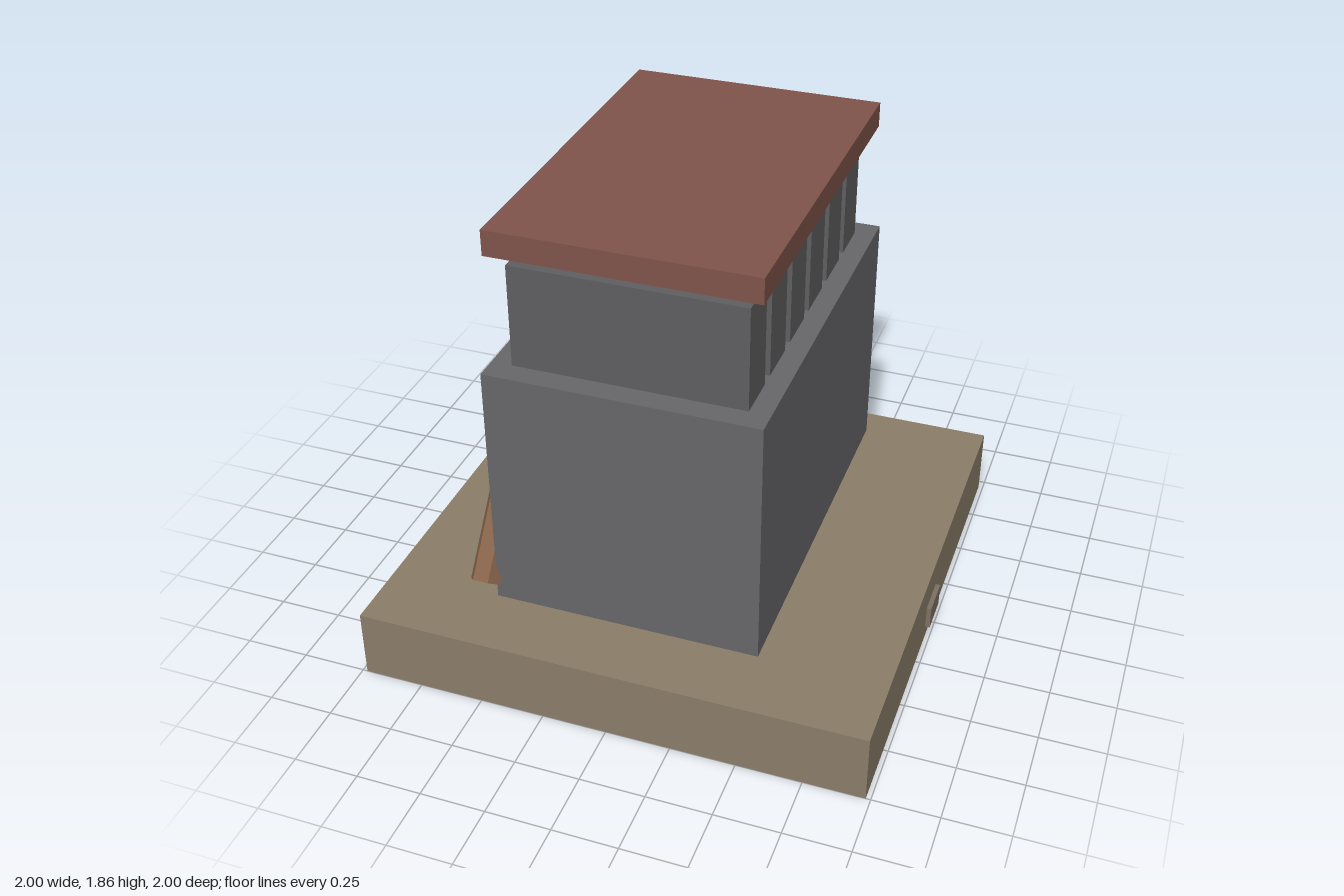
import * as THREE from 'three';

const paint = (color) => new THREE.MeshStandardMaterial({ color, flatShading: true });

export function createModel() {
  const model = new THREE.Group();
  const stone = paint(0x8b7e69), iron = paint(0x67676a), fin = paint(0x5f5f61);
  const dark = paint(0x4f4f50), rust = paint(0x80544a), copper = paint(0x86634a);
  const steel = paint(0x857a76), tabPaint = paint(0x7d7064);

  const add = (name, geometry, material, x, y, z) => {
    const mesh = new THREE.Mesh(geometry, material);
    mesh.name = name;
    mesh.position.set(x, y, z);
    model.add(mesh);
    return mesh;
  };
  const box = (name, material, w, h, d, x, y, z) =>
    add(name, new THREE.BoxGeometry(w, h, d), material, x, y, z);

  // Base slab with a small tab on each side
  box('base', stone, 1.964, 0.275, 1.958, 0, 0.1375, 0.021);
  for (const side of [-1, 1]) {
    box('sideTab', tabPaint, 0.04, 0.092, 0.156, side * 0.98, 0.101, 0.022);
  }

  // Main block
  box('body', iron, 1.02, 0.98, 1.527, 0, 0.825, 0.021);

  // Row of six fins, each with a hexagonal stud under the lid
  for (let i = 0; i < 6; i++) {
    const z = 0.61 - 0.235 * i;
    box('fin', fin, 0.862, 0.394, 0.176, 0, 1.513, z);
    add('stud', new THREE.CylinderGeometry(0.06, 0.06, 0.06, 6), steel, 0, 1.76, z);
  }

  // Lid plate
  box('lid', rust, 0.98, 0.097, 1.45, 0, 1.808, 0.021);

  // Drum on the back, a corner of its outline at each side
  const drumGeometry = new THREE.CylinderGeometry(0.392, 0.392, 0.3, 14, 1, false, Math.PI / 2);
  add('drum', drumGeometry.rotateX(Math.PI / 2), dark, 0, 0.887, -0.85);

  // Slanted hexagonal lever beside the body
  const leverGeometry = new THREE.CylinderGeometry(0.06, 0.06, 0.974, 6, 1, false, Math.PI / 6);
  add('lever', leverGeometry, copper, -0.55, 0.79, 0.505).rotation.x = -0.647;

  return model;
}
